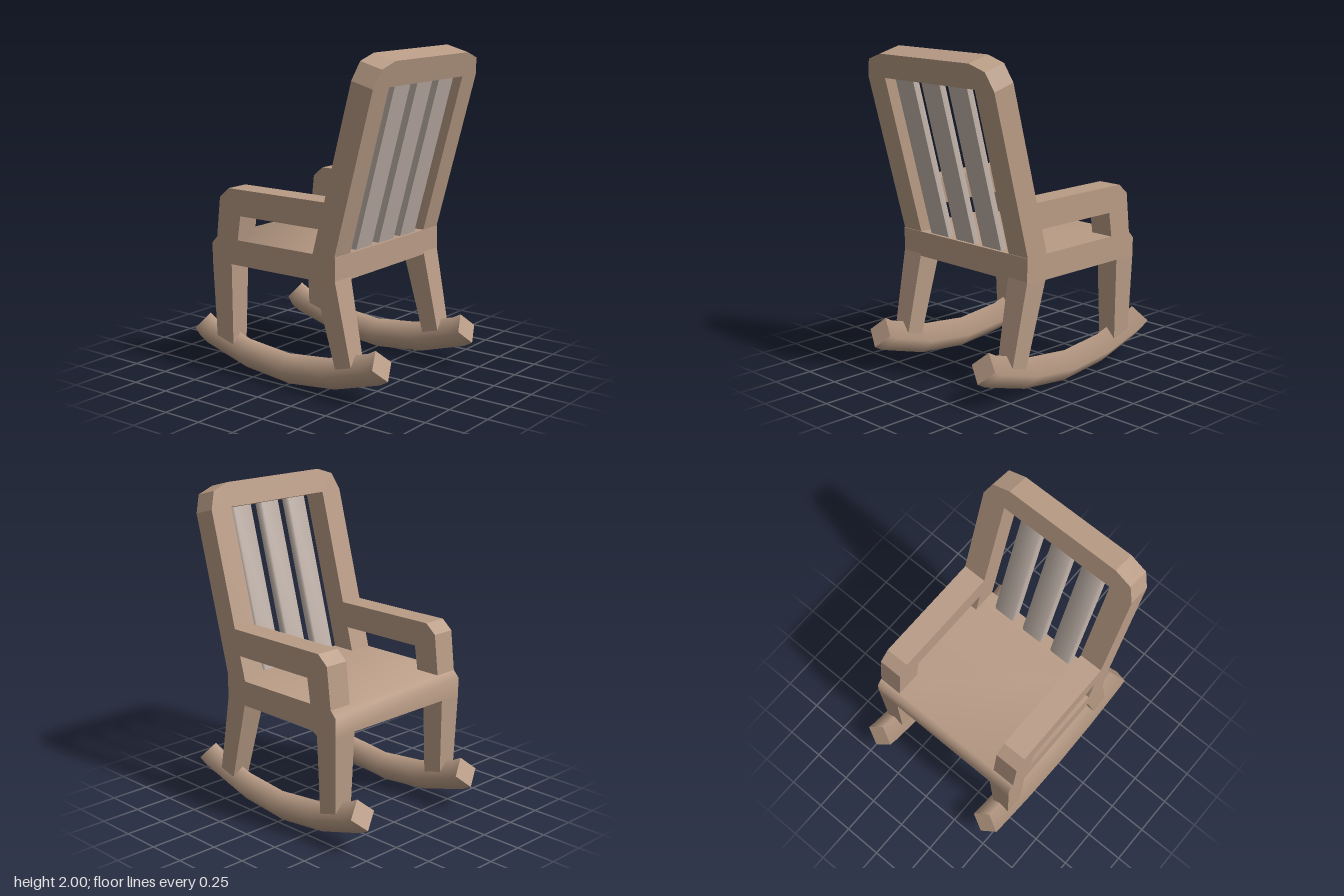
import * as THREE from 'three';
import { toCreasedNormals } from 'three/addons/utils/BufferGeometryUtils.js';

const wood = new THREE.MeshStandardMaterial({ color: 0xb89b85 });
wood.name = 'warm wood';
const paleWood = new THREE.MeshStandardMaterial({ color: 0xc0b2a9 });
paleWood.name = 'pale grey wood';

const HALF = 0.533;   // half width of the chair
const INNER = 0.38;   // inner side of arms, legs and uprights

function mesh(name, geometry, material = wood) {
  const m = new THREE.Mesh(geometry, material);
  m.name = name;
  return m;
}

function extrude(points, depth) {
  const shape = new THREE.Shape(points.map(([x, y]) => new THREE.Vector2(x, y)));
  return new THREE.ExtrudeGeometry(shape, { depth, bevelEnabled: false });
}

// Tapered leg: x ranges at the top and bottom, z narrowing towards the bottom
function legGeometry(top, bottom) {
  const g = new THREE.BoxGeometry(1, 1, 1);
  const p = g.attributes.position;
  for (let i = 0; i < p.count; i++) {
    const up = p.getY(i) > 0;
    const x = (up ? top : bottom)[p.getX(i) > 0 ? 1 : 0];
    const halfZ = up ? (HALF - INNER) / 2 : 0.06;
    p.setXYZ(i, x, up ? 0.71 : 0.16, Math.sign(p.getZ(i)) * halfZ);
  }
  const flat = g.toNonIndexed();
  flat.computeVertexNormals();
  return flat;
}

// Four-sided bar bent along a shallow curve
function rockerGeometry() {
  const stations = [
    [-0.675, 0.245], [-0.62, 0.215], [-0.32, 0.128], [0, 0.095],
    [0.32, 0.128], [0.62, 0.215], [0.675, 0.245],
  ];
  const n = stations.length - 1;
  const g = new THREE.CylinderGeometry(0.095, 0.095, 1, 4, n);
  g.rotateZ(-Math.PI / 2);
  const p = g.attributes.position;
  const normal = g.attributes.normal;
  for (let i = 0; i < p.count; i++) {
    const [cx, cy] = stations[Math.round((p.getX(i) + 0.5) * n)];
    const c = Math.cos(cx * 0.71), s = Math.sin(cx * 0.71);
    p.setXY(i, cx - p.getY(i) * s, cy + p.getY(i) * c);
    const nx = normal.getX(i), ny = normal.getY(i);
    normal.setXY(i, nx * c - ny * s, nx * s + ny * c);
  }
  return g;
}

// Leaning back: local x is width, y runs up the lean, z points forward
function createBack() {
  const back = new THREE.Group();
  back.name = 'backrest';
  const length = 1.191, depth = 0.15, holeTop = 1.041;

  const right = [
    [INNER, holeTop], [INNER, 0], [HALF, 0], [HALF, length - 0.15],
    [0.49, length - 0.04], [0.375, length],
  ];
  const left = right.map(([x, y]) => [-x, y]).reverse();
  back.add(mesh('backFrame', extrude([...right, ...left], depth)));

  // Slats with softened front edges
  const w = 0.077, rear = -0.015, front = -0.066, soft = 0.012;
  const section = [
    [-w, rear], [w, rear], [w, front + soft], [w - soft, front],
    [-w + soft, front], [-w, front + soft],
  ];
  const slat = toCreasedNormals(extrude(section, holeTop + 0.01).rotateX(-Math.PI / 2), 0.9);
  for (const x of [-0.225, 0, 0.225]) {
    const m = mesh('backSlat', slat, paleWood);
    m.position.x = x;
    back.add(m);
  }

  const up = new THREE.Vector3(0.26, 0.9656, 0).normalize();
  const side = new THREE.Vector3(0, 0, 1);
  const forward = new THREE.Vector3().crossVectors(side, up);
  const origin = new THREE.Vector3(0.2405, 0.85, 0).addScaledVector(forward, -depth);
  back.applyMatrix4(new THREE.Matrix4().makeBasis(side, up, forward).setPosition(origin));
  return back;
}

export function createModel() {
  const chair = new THREE.Group();
  chair.name = 'rockingChair';

  // Seat slab with a softened front edge
  const seat = mesh('seat', toCreasedNormals(extrude([
    [-0.533, 0.695], [0.4, 0.695], [0.4, 0.85], [-0.495, 0.85], [-0.533, 0.81],
  ], 2 * HALF), 0.9));
  seat.position.z = -HALF;
  chair.add(seat, createBack());

  // Arm with its front post
  const arm = extrude([
    [-0.495, 0.84], [-0.33, 0.84], [-0.305, 1.0], [0.3, 1.0],
    [0.34, 1.16], [-0.395, 1.16], [-0.465, 1.1],
  ], HALF - INNER).translate(0, 0, -(HALF - INNER) / 2);
  const frontLeg = legGeometry([-0.533, -0.38], [-0.517, -0.391]);
  const backLeg = legGeometry([0.245, 0.4], [0.396, 0.513]);
  const rocker = rockerGeometry();

  for (const side of [-1, 1]) {
    const parts = new THREE.Group();
    parts.name = side > 0 ? 'nearSide' : 'farSide';
    parts.position.z = side * (HALF + INNER) / 2;
    parts.add(mesh('armrest', arm), mesh('frontLeg', frontLeg),
      mesh('backLeg', backLeg), mesh('rocker', rocker));
    chair.add(parts);
  }
  return chair;
}
